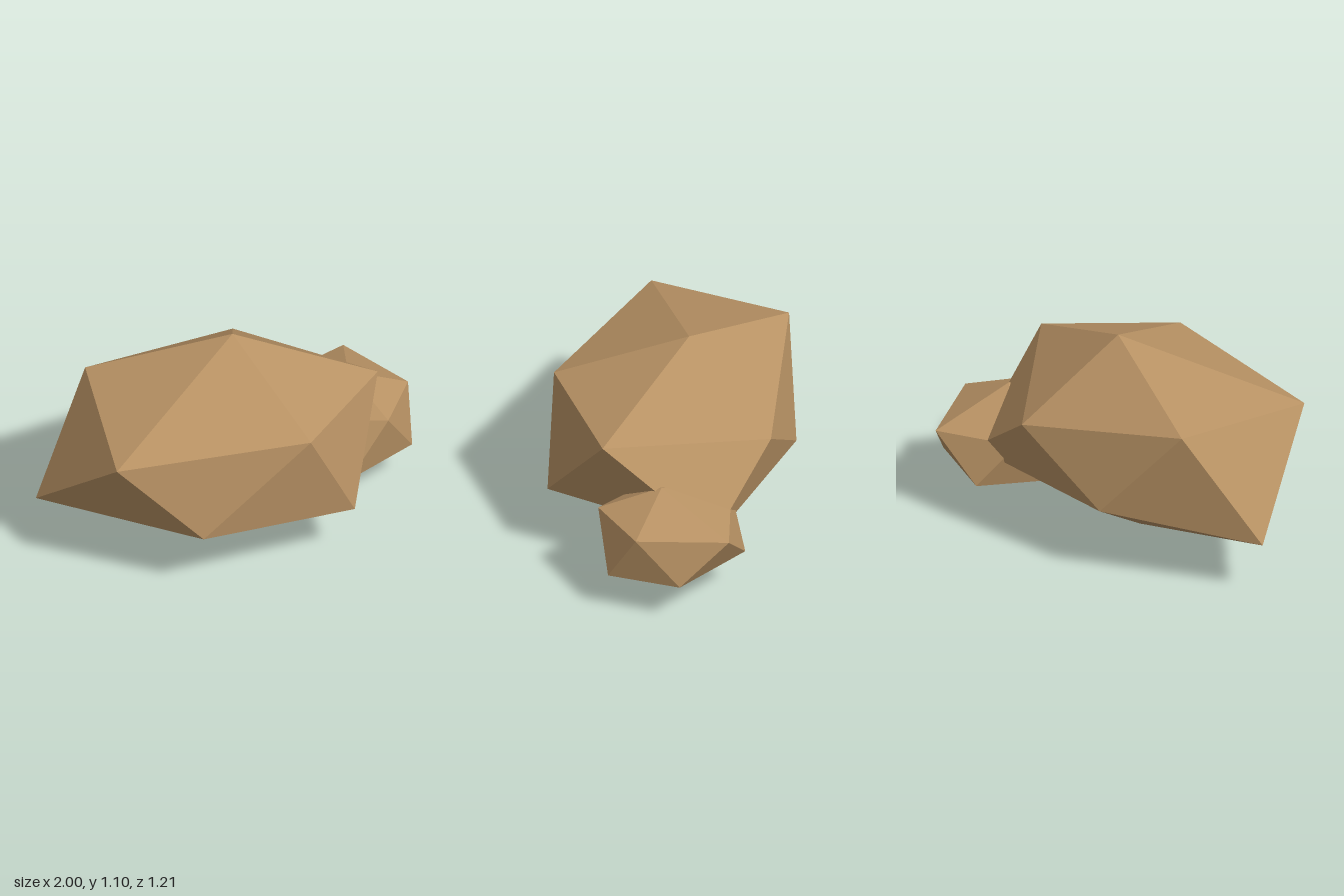
import * as THREE from 'three';

// Faceted boulder: an uneven icosahedron made of a top point, two rings of five and a bottom point.
// Rings run counter-clockwise seen from above; lower[i] sits between upper[i] and upper[i + 1].
function boulder(name, material, top, upper, lower, bottom) {
  const points = [];
  for (let i = 0; i < 5; i++) {
    const j = (i + 1) % 5;
    points.push(
      top, upper[i], upper[j],
      upper[i], lower[i], upper[j],
      lower[i], lower[j], upper[j],
      bottom, lower[j], lower[i],
    );
  }
  const geometry = new THREE.BufferGeometry();
  geometry.setAttribute('position', new THREE.Float32BufferAttribute(points.flat(), 3));
  geometry.computeVertexNormals(); // unshared corners give flat facets
  const mesh = new THREE.Mesh(geometry, material);
  mesh.name = name;
  return mesh;
}

export function createModel() {
  const stone = new THREE.MeshStandardMaterial({ color: 0xb89264 });
  stone.name = 'brown stone';

  const group = new THREE.Group();
  group.name = 'rocks';

  // Main boulder
  group.add(boulder('largeRock', stone,
    [0.035, 1.095, -0.06],
    [[-0.745, 0.795, 0.485], [0.245, 0.83, 0.59], [0.75, 0.815, 0.105], [0.2, 0.715, -0.58], [-0.665, 0.865, -0.305]],
    [[-0.325, 0.36, 0.605], [0.5, 0.3, 0.515], [0.66, 0.365, -0.465], [-0.285, 0.38, -0.51], [-1, 0.29, -0.065]],
    [-0.03, 0, 0.03]));

  // Smaller boulder leaning into its left side
  group.add(boulder('smallRock', stone,
    [0.685, 0.617, -0.19],
    [[0.805, 0.492, 0.105], [1, 0.485, -0.185], [0.79, 0.46, -0.605], [0.38, 0.47, -0.44], [0.42, 0.47, -0.05]],
    [[0.97, 0.215, -0.02], [0.94, 0.225, -0.4], [0.525, 0.235, -0.58], [0.34, 0.21, -0.24], [0.585, 0.21, 0.16]],
    [0.66, 0.072, -0.185]));

  return group;
}
